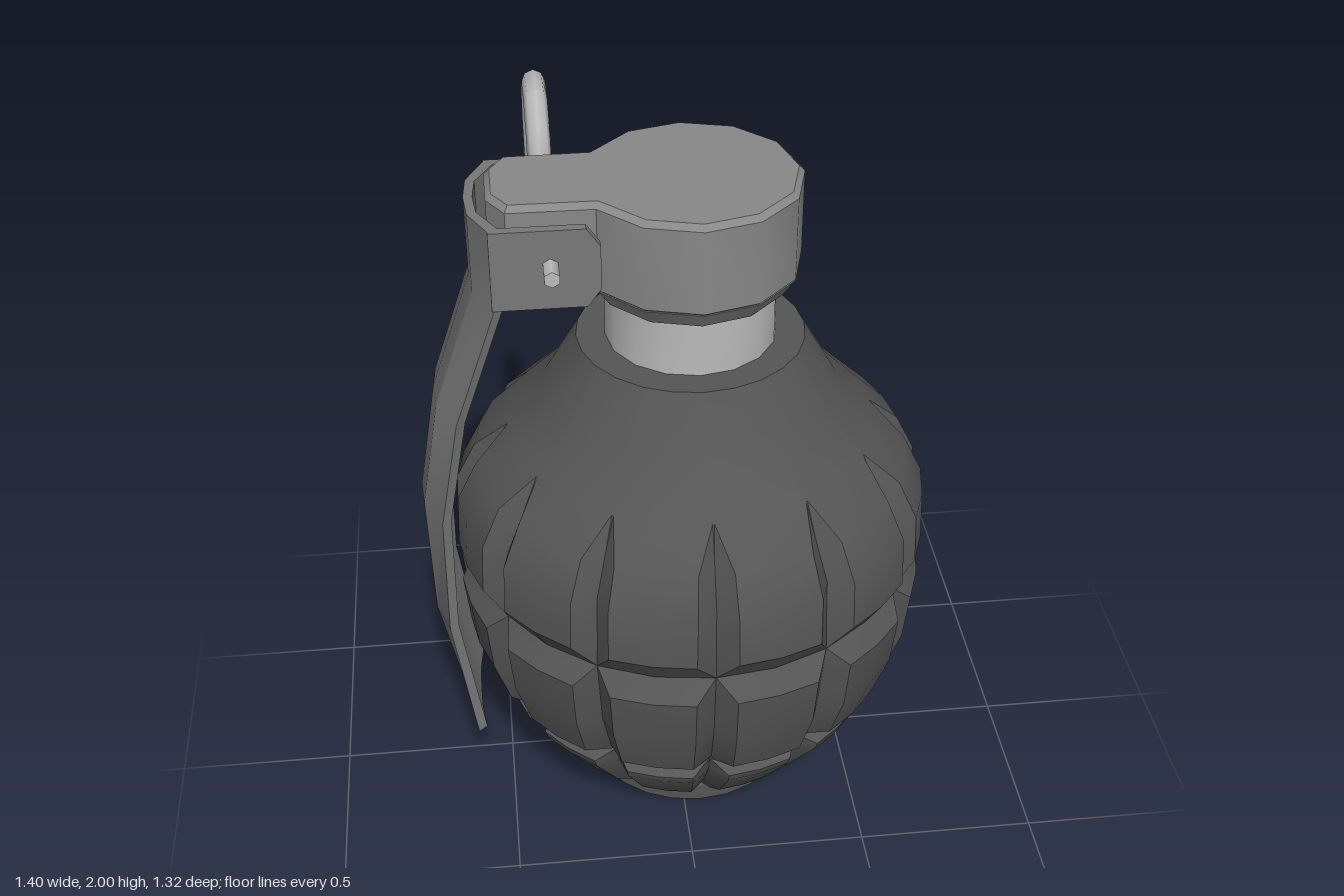
import * as THREE from 'three';
import { toCreasedNormals } from 'three/addons/utils/BufferGeometryUtils.js';

const AXIS = 0.045; // x of the body's axis

const mat = (color) => new THREE.MeshStandardMaterial({ color });
const iron = mat(0x555555);
const steel = mat(0x888888);
const sheet = mat(0x787878);
const bright = mat(0xbbbbbb);

function add(group, name, geometry, material, x = 0, y = 0, z = 0, crease = 0.45) {
  const mesh = new THREE.Mesh(toCreasedNormals(geometry, crease), material);
  mesh.name = name;
  mesh.position.set(x, y, z);
  group.add(mesh);
  return mesh;
}

// Skins closed rings of points, listed bottom to top, each anticlockwise from above
function loft(rings, capStrip = false) {
  const n = rings[0].length;
  const index = [];
  for (let i = 0; i < rings.length - 1; i++) {
    for (let j = 0; j < n; j++) {
      const a = i * n + j, b = i * n + (j + 1) % n;
      index.push(a, b, b + n, a, b + n, a + n);
    }
  }
  if (capStrip) {
    const top = (rings.length - 1) * n;
    for (let k = 0; k < n / 2 - 1; k++) {
      const a = k, b = k + 1, c = n - 2 - k, d = n - 1 - k;
      index.push(a, c, b, a, d, c);
      index.push(top + a, top + b, top + c, top + a, top + c, top + d);
    }
  }
  const g = new THREE.BufferGeometry();
  g.setAttribute('position', new THREE.Float32BufferAttribute(rings.flat(2), 3));
  g.setIndex(index);
  return g;
}

// Body with 12 upright grooves and two level ones
function bodyGeometry() {
  // height, radius, groove depth, groove half width
  const rows = [
    [0.07, 0.29, 0, 0],
    [0.09, 0.34, 0.03, 0.025],
    [0.17, 0.43, 0.045, 0.04],
    [0.32, 0.54, 0.05, 0.05],
    [0.345, 0.548, 0.05, 0.05],
    [0.38, 0.505, 0, 0],
    [0.425, 0.592, 0.05, 0.055],
    [0.57, 0.64, 0.05, 0.055],
    [0.72, 0.655, 0.05, 0.055],
    [0.78, 0.612, 0, 0],
    [0.855, 0.657, 0.05, 0.055],
    [1.0, 0.65, 0.05, 0.053],
    [1.11, 0.595, 0.05, 0.047],
    [1.205, 0.5, 0, 0.004],
    [1.31, 0.4, 0, 0.004],
    [1.475, 0.305, 0, 0.004],
    [1.475, 0.15, 0, 0.004],
  ];
  return loft(rows.map(([y, r, depth, half]) => {
    const ring = [];
    for (let s = 0; s < 12; s++) {
      const a = s * Math.PI / 6, d = half / r;
      const point = (angle, radius) =>
        ring.push([radius * Math.sin(angle), y, radius * Math.cos(angle)]);
      point(a - d, r);
      point(a, r - depth);
      point(a + d, r);
      point(a + Math.PI / 12, r);
    }
    return ring;
  }));
}

// Bent sheet lever with a shallow channel section
function leverGeometry() {
  // height, outer x, bow of the section
  const path = [
    [0.25, -0.605, 0.012],
    [0.65, -0.69, 0.04],
    [1.02, -0.70, 0.055],
    [1.34, -0.645, 0.058],
    [1.68, -0.53, 0.06],
    [1.9, -0.53, 0.06],
  ];
  const section = [[0.195, 1], [0.09, 0.12], [0, 0], [-0.09, 0.12], [-0.195, 1]];
  return loft(path.map(([y, x, bow]) => [
    ...section.map(([z, f]) => [x + bow * f + 0.024, y, z * 0.9]),
    ...section.slice().reverse().map(([z, f]) => [x + bow * f, y, z]),
  ]), true);
}

// Round head with an arm reaching over the lever
function headGeometry() {
  const points = [[-0.475, 0.07], [-0.475, -0.07], [-0.43, -0.143]];
  for (let i = 0; i <= 10; i++) {
    const a = THREE.MathUtils.degToRad(-150 + i * 30);
    points.push([AXIS + 0.29 * Math.cos(a), 0.29 * Math.sin(a)]);
  }
  points.push([-0.43, 0.143]);
  const shape = new THREE.Shape(points.map(([x, y]) => new THREE.Vector2(x, y)));
  return new THREE.ExtrudeGeometry(shape, {
    depth: 0.23, bevelThickness: 0.015, bevelSize: 0.015, bevelOffset: -0.015, bevelSegments: 1,
  }).rotateX(-Math.PI / 2);
}

// Bracket cheek with clipped inner corners
function cheekGeometry() {
  const outline = [[-0.475, 1.68], [-0.235, 1.68], [-0.2, 1.73], [-0.2, 1.85], [-0.235, 1.9], [-0.475, 1.9]];
  const shape = new THREE.Shape(outline.map(([x, y]) => new THREE.Vector2(x, y)));
  return new THREE.ExtrudeGeometry(shape, { depth: 0.026, bevelEnabled: false });
}

export function createModel() {
  const model = new THREE.Group();
  model.name = 'grenade';

  add(model, 'body', bodyGeometry(), iron, AXIS);

  const base = [[0, 0], [0.295, 0], [0.31, 0.015], [0.31, 0.07], [0.3, 0.085], [0, 0.085]];
  add(model, 'base', new THREE.LatheGeometry(base.map(([r, y]) => new THREE.Vector2(r, y)), 24), iron, AXIS);

  add(model, 'neck', new THREE.CylinderGeometry(0.228, 0.228, 0.2, 16), bright, AXIS, 1.56);

  // Head and the chamfer beneath it
  add(model, 'head', headGeometry(), steel, 0, 1.695, 0, 0.55);
  add(model, 'headChamfer', new THREE.CylinderGeometry(0.289, 0.255, 0.05, 12), steel, AXIS, 1.665, 0, 0.55);

  // Safety lever and its bracket
  add(model, 'lever', leverGeometry(), sheet, 0, 0, 0, 0.35);
  for (const [name, z] of [['frontCheek', 0.169], ['backCheek', -0.195]]) {
    add(model, name, cheekGeometry(), sheet, 0, 0, z);
  }

  // Pin and pull ring
  const pin = new THREE.CylinderGeometry(0.022, 0.022, 0.52, 6).rotateX(Math.PI / 2);
  add(model, 'pin', pin, bright, -0.325, 1.8, 0, 1.1);
  const ring = new THREE.TorusGeometry(0.176, 0.032, 8, 10).rotateY(Math.PI / 2);
  add(model, 'pullRing', ring, bright, -0.325, 1.8, -0.453, 0.9);

  return model;
}
